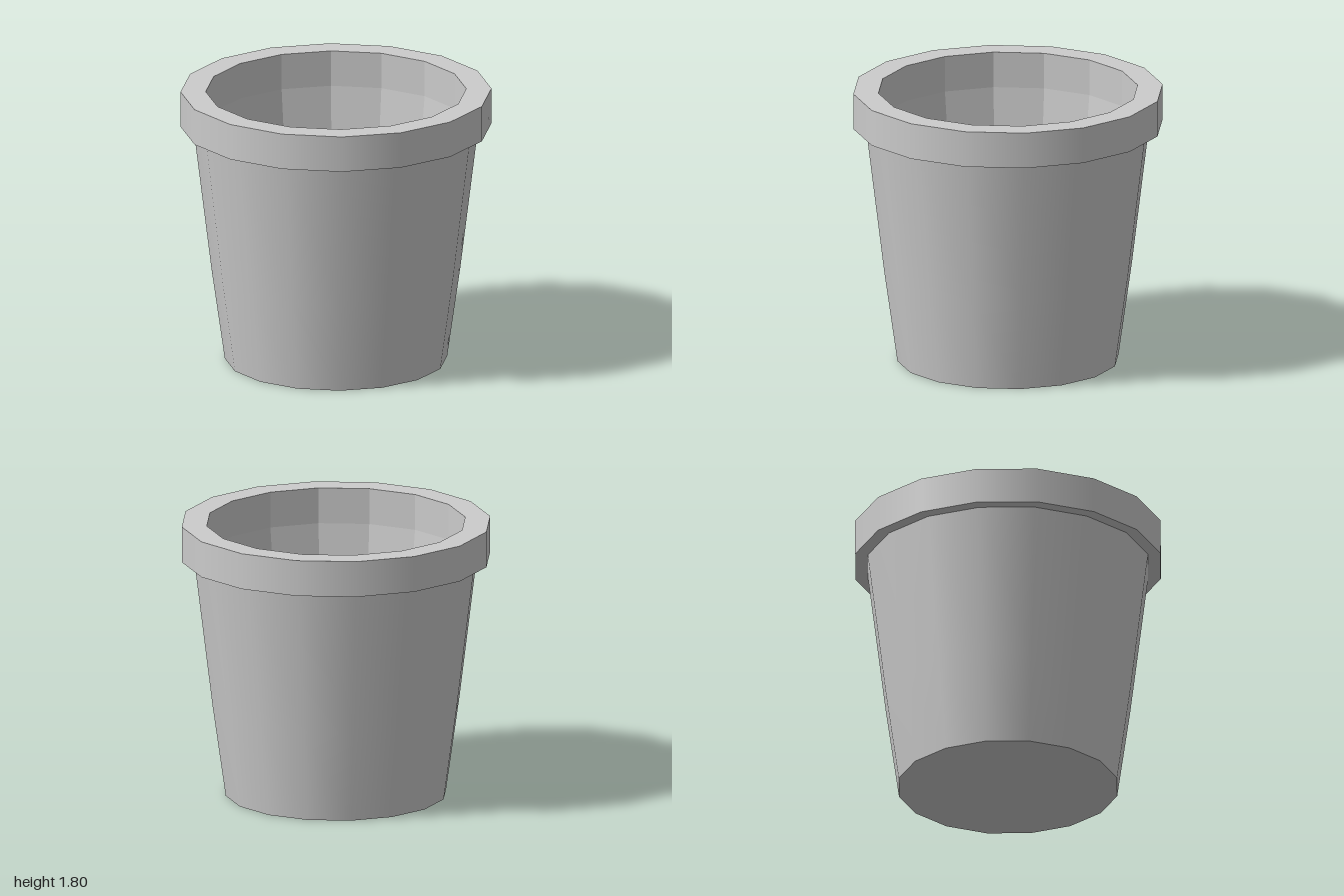
import * as THREE from 'three';

const SIDES = 16;

export function createModel() {
  const pot = new THREE.Group();
  pot.name = 'flowerPot';
  const smooth = new THREE.MeshStandardMaterial({ color: 0xcccccc });
  const flat = new THREE.MeshStandardMaterial({ color: 0xcccccc, flatShading: true });

  // Revolve one band of [radius, height] points; separate bands keep edges crisp
  const band = (name, profile, material) => {
    const points = profile.map(([r, y]) => new THREE.Vector2(r, y));
    const mesh = new THREE.Mesh(new THREE.LatheGeometry(points, SIDES), material);
    mesh.name = name;
    pot.add(mesh);
  };

  // Outside, from the base up
  band('base', [[0, 0], [0.715, 0]], flat);
  band('outerWall', [[0.715, 0], [0.8, 0.6], [0.918, 1.565]], smooth);
  band('rimUnderside', [[0.918, 1.565], [1, 1.565]], flat);
  band('rimSide', [[1, 1.565], [1, 1.8]], smooth);
  band('rimTop', [[1, 1.8], [0.838, 1.8]], flat);

  // Inside, from the rim down: upright collar, faceted taper, floor
  band('innerCollar', [[0.838, 1.8], [0.838, 1.565]], flat);
  band('innerWall', [[0.838, 1.565], [0.673, 0.14]], flat);
  band('innerFloor', [[0.673, 0.14], [0, 0.14]], flat);

  return pot;
}
